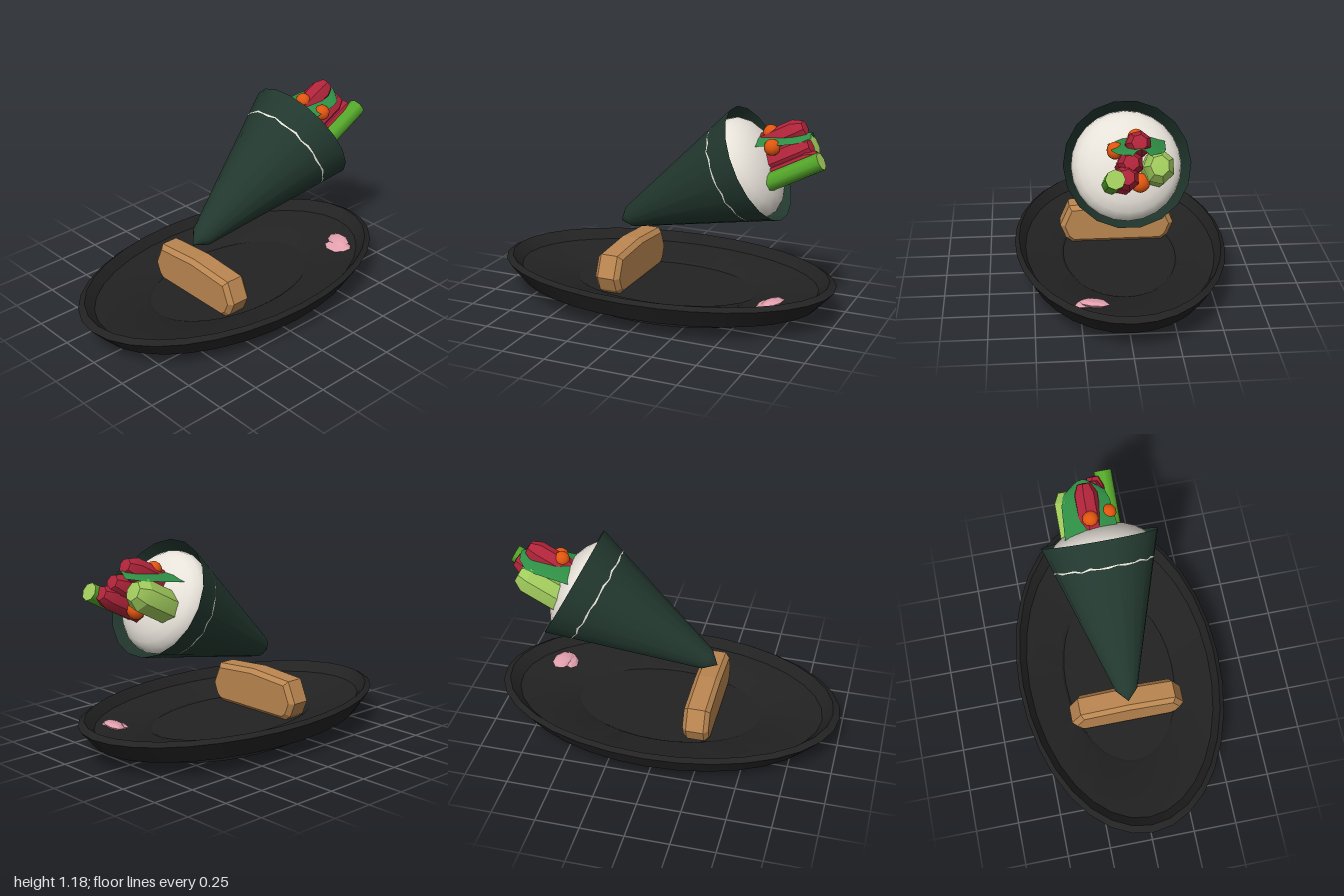
import * as THREE from 'three';
import { toCreasedNormals } from 'three/addons/utils/BufferGeometryUtils.js';

const mat = (name, color, side = THREE.FrontSide) => {
  const m = new THREE.MeshStandardMaterial({ color, side });
  m.name = name;
  return m;
};
const add = (parent, name, geometry, material) => {
  const m = new THREE.Mesh(geometry, material);
  m.name = name;
  parent.add(m);
  return m;
};
const lathe = (pts, n) => new THREE.LatheGeometry(pts.map(p => new THREE.Vector2(...p)), n);

const TILT = -1.087;                                  // lean of the roll
const AXIS = new THREE.Vector3(0.885, 0.465, 0);      // the way its mouth points

// Chunky bar with chamfered ends; its tip lies at y = 0 and it runs down to y = -len
function barGeometry(r, len, sides, flat = 1) {
  const g = lathe([[0, -len], [r * 0.7, -len], [r, -len + 0.05], [r, -0.06], [r * 0.6, -0.005], [0, 0]], sides);
  g.scale(1, 1, flat);
  return toCreasedNormals(g, 0.5);
}

export function createModel() {
  const model = new THREE.Group();
  model.name = 'handRollOnPlate';

  const plateBlack = mat('plateBlack', 0x222223);
  const seaweed = mat('seaweedGreen', 0x22382f, THREE.DoubleSide);
  const riceWhite = mat('riceWhite', 0xe8e3da, THREE.DoubleSide);
  const wood = mat('woodBrown', 0xba8650);
  const tunaRed = mat('tunaRed', 0xb0243a);
  const roeOrange = mat('roeOrange', 0xe2560f);
  const gingerPink = mat('gingerPink', 0xe3a0ae);
  const cucumberGreen = mat('cucumberGreen', 0x55a82a);
  const limeGreen = mat('limeGreen', 0xa0ca5c);
  const leafGreen = mat('leafGreen', 0x2f8f45, THREE.DoubleSide);

  // Oval plate with a foot, a raised rim and a sunken floor
  const plate = lathe([
    [0, 0], [0.6, 0], [0.62, 0.045], [0.9, 0.092], [1, 0.202], [0.96, 0.223],
    [0.9, 0.165], [0.56, 0.12], [0.54, 0.11], [0, 0.11],
  ], 32);
  plate.scale(1, 1, 0.6);
  add(model, 'plate', toCreasedNormals(plate, 0.45), plateBlack);

  // Wooden rest block with bevelled edges
  const outline = new THREE.Shape([
    [-0.333, 0.215], [-0.3, 0.135], [-0.26, 0.105], [0.26, 0.105], [0.3, 0.135],
    [0.333, 0.215], [0.28, 0.337], [0, 0.357], [-0.28, 0.337],
  ].map(p => new THREE.Vector2(...p)));
  const block = new THREE.ExtrudeGeometry(outline, {
    depth: 0.1, bevelThickness: 0.025, bevelSize: 0.025, bevelOffset: -0.025, bevelSegments: 1,
  });
  block.translate(0, 0, -0.05);
  block.rotateY(Math.PI / 2);
  add(model, 'restBlock', block, wood).position.x = -0.225;

  // Seaweed cone; its own y axis runs from the tip to the mouth at y = 0
  const roll = new THREE.Group();
  roll.name = 'roll';
  roll.position.set(0.55, 0.89, 0);
  roll.rotation.z = TILT;
  model.add(roll);
  add(roll, 'seaweedCone', lathe([[0, -0.94], [0.063, -0.87], [0.333, 0]], 18), seaweed);

  // Rice mound inside the mouth
  const rice = new THREE.SphereGeometry(0.29, 24, 12);
  rice.scale(1, 0.53, 1);
  add(roll, 'rice', rice, riceWhite).position.y = -0.07;

  // Ragged line of rice showing around the cone
  const seam = new THREE.CylinderGeometry(1, 1, 1, 36, 1, true);
  const sp = seam.attributes.position;
  for (let i = 0; i < sp.count; i++) {
    const k = Math.round(Math.atan2(sp.getX(i), sp.getZ(i)) / (Math.PI / 18)) + 36;
    const wave = 0.005 * Math.sin((k % 36) * 2.3);
    const y = -0.15 + wave + (sp.getY(i) > 0 ? 0.003 + 0.005 * (k % 2) : -0.003);
    const r = (0.333 + 0.31 * y) * (k % 2 ? Math.cos(Math.PI / 18) : 1) + 0.003;
    sp.setXYZ(i, sp.getX(i) * r, y, sp.getZ(i) * r);
  }
  seam.computeVertexNormals();
  add(roll, 'riceSeam', seam, riceWhite);

  // Fillings lie along the cone's axis, each placed by its outer tip
  const filling = (name, geometry, material, tip) => {
    const m = add(model, name, geometry, material);
    m.position.set(...tip);
    m.rotation.z = TILT;
    return m;
  };
  [[0.795, 1.105, -0.04], [0.845, 1.02, 0.005], [0.9, 0.965, 0.03]].forEach((tip, i) =>
    filling('tuna' + (i + 1), barGeometry(0.067, 0.42, 7), tunaRed, tip));
  filling('avocado', barGeometry(0.09, 0.42, 7, 0.9), limeGreen, [0.825, 0.99, -0.14]);

  // Cucumber stick with a pale cut end
  const stick = new THREE.CylinderGeometry(0.05, 0.05, 0.45, 8);
  stick.translate(0, -0.225, 0);
  filling('cucumber', stick, [cucumberGreen, limeGreen, limeGreen], [0.925, 0.965, 0.09]);

  // Arched leaf with a pointed end, under the upper tuna piece
  const leaf = new THREE.PlaneGeometry(1, 1, 6, 4);
  leaf.rotateX(-Math.PI / 2);
  const lp = leaf.attributes.position;
  for (let i = 0; i < lp.count; i++) {
    const u = lp.getX(i) + 0.5, v = lp.getZ(i) * 2;
    const half = 0.155 - 0.03 * u - (u > 0.8 ? 0.08 * (u - 0.8) / 0.2 : 0);
    lp.setXYZ(i, 0.48 + 0.35 * u, 1.03 + 0.05 * u - 0.035 * v * v, -0.045 + half * v);
  }
  leaf.computeVertexNormals();
  add(model, 'leaf', leaf, leafGreen);

  // Roe
  [[0.645, 1.005, 0.07, 0.045], [0.73, 0.86, -0.05, 0.05], [0.6, 1.055, -0.04, 0.045]].forEach(([x, y, z, r], i) =>
    add(model, 'roe' + (i + 1), new THREE.SphereGeometry(r, 10, 8), roeOrange).position.set(x, y, z));

  // Two folded slices of ginger
  [[0.68, 0.155, 0.215, 0.4], [0.71, 0.172, 0.185, -0.3]].forEach(([x, y, z, turn], i) => {
    const g = new THREE.SphereGeometry(1, 8, 4);
    g.scale(0.055, 0.02, 0.085);
    const slice = add(model, 'ginger' + (i + 1), toCreasedNormals(g, 0.5), gingerPink);
    slice.position.set(x, y, z);
    slice.rotation.set(0, turn, 0.2);
  });

  return model;
}
